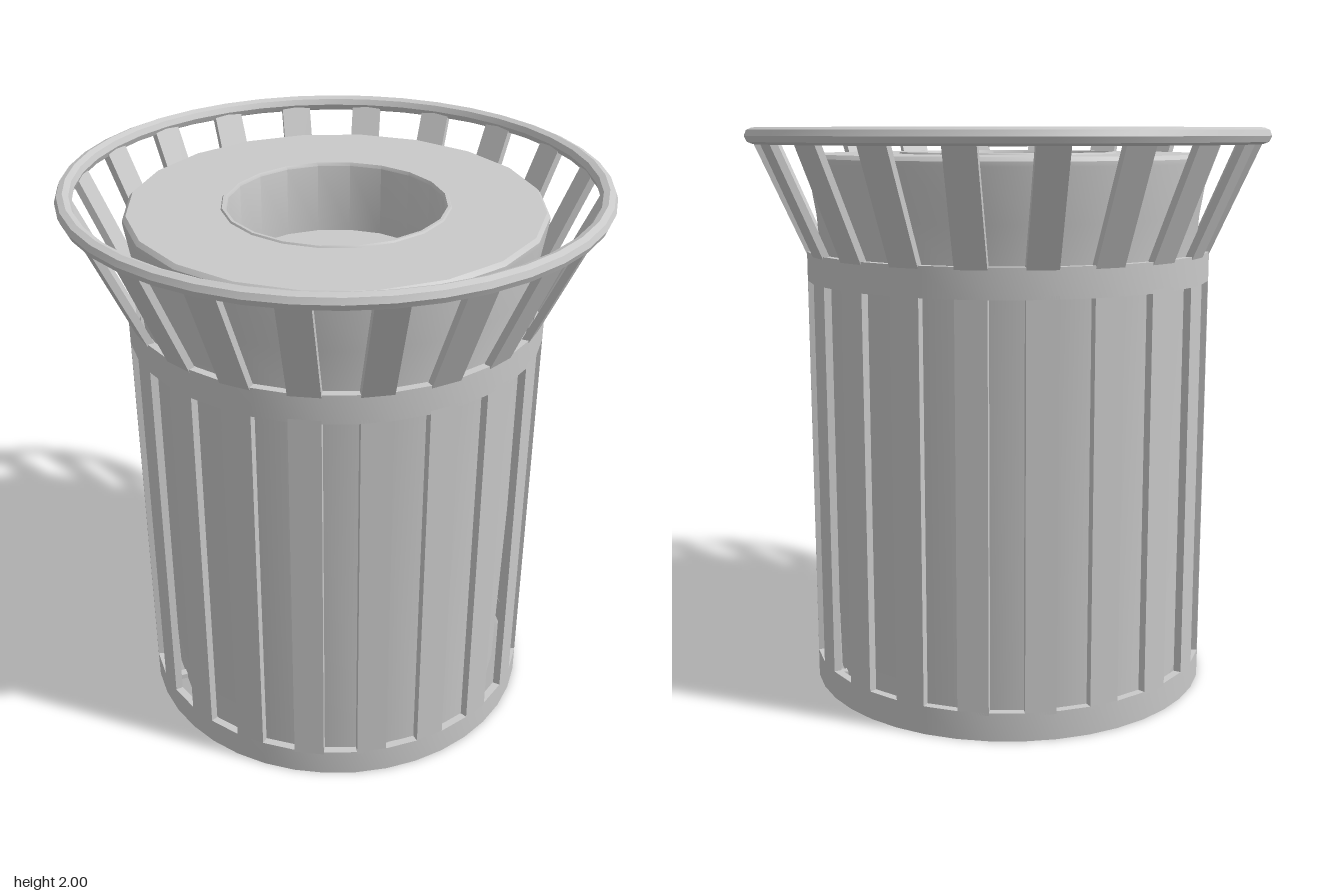
import * as THREE from 'three';
import { toCreasedNormals } from 'three/addons/utils/BufferGeometryUtils.js';

const SLATS = 20;
const STEP = (Math.PI * 2) / SLATS;

// Revolve a [radius, y] profile, keeping its corners sharp
function lathe(name, profile, segments, material, phiStart = 0) {
  const points = profile.map(([r, y]) => new THREE.Vector2(r, y));
  const geometry = new THREE.LatheGeometry(points, segments, phiStart, Math.PI * 2);
  const mesh = new THREE.Mesh(toCreasedNormals(geometry, 0.5), material);
  mesh.name = name;
  return mesh;
}

// Flat bar whose outer face runs from [r0, y0] to [r1, y1]
function slatGeometry(r0, y0, r1, y1, width, thickness) {
  const length = Math.hypot(r1 - r0, y1 - y0);
  const geometry = new THREE.BoxGeometry(width, length, thickness);
  geometry.translate(0, 0, -thickness / 2);
  geometry.rotateX(Math.atan2(r1 - r0, y1 - y0));
  geometry.translate(0, (y0 + y1) / 2, (r0 + r1) / 2);
  return geometry;
}

// Repeat a part around the vertical axis
function ringOf(name, geometry, count, material, offset = 0) {
  const group = new THREE.Group();
  group.name = name;
  for (let i = 0; i < count; i++) {
    const mesh = new THREE.Mesh(geometry, material);
    mesh.name = name + 'Piece';
    mesh.rotation.y = offset + (i * Math.PI * 2) / count;
    group.add(mesh);
  }
  return group;
}

export function createModel() {
  const metal = new THREE.MeshStandardMaterial({ color: 0xc9c9c9 });
  metal.name = 'grey metal';
  const model = new THREE.Group();
  model.name = 'litterBin';

  // Solid bands of the outer cage
  const R = 0.721, INNER = 0.694;
  const band = (name, y0, y1) => lathe(name,
    [[INNER, y0], [R, y0], [R, y1], [INNER, y1], [INNER, y0]], SLATS * 2, metal, STEP / 4);
  model.add(band('bottomBand', 0, 0.1), band('upperBand', 1.473, 1.575));

  // Upright slats between the bands, flared slats above
  const face = R * Math.cos(STEP / 4);
  model.add(ringOf('uprightSlats', slatGeometry(face, 0.09, face, 1.485, 0.106, 0.026), SLATS, metal));
  model.add(ringOf('flaredSlats', slatGeometry(face, 1.565, 0.898, 1.965, 0.106, 0.025), SLATS, metal));

  // Faceted top ring
  const ringShape = toCreasedNormals(new THREE.TorusGeometry(0.895, 0.028, 8, 40), 0.5);
  const ring = new THREE.Mesh(ringShape, metal);
  ring.name = 'topRing';
  ring.rotation.x = Math.PI / 2;
  ring.position.y = 1.972;
  model.add(ring);

  // Inner bin, widening towards a lid with a round well sunk into it
  model.add(lathe('innerBin', [
    [0, 0.01], [0.632, 0.01], [0.664, 1.475], [0.682, 1.7], [0.712, 1.88], [0.712, 1.896], [0.7, 1.91],
    [0.388, 1.91], [0.384, 1.916], [0.374, 1.916], [0.368, 1.905], [0.368, 1.66], [0, 1.66],
  ], SLATS, metal));

  // Small brackets joining the inner bin to the bottom band
  const bracket = new THREE.BoxGeometry(0.03, 0.02, 0.08).translate(0, 0.02, 0.66);
  model.add(ringOf('brackets', bracket, 4, metal, STEP / 2));

  return model;
}
